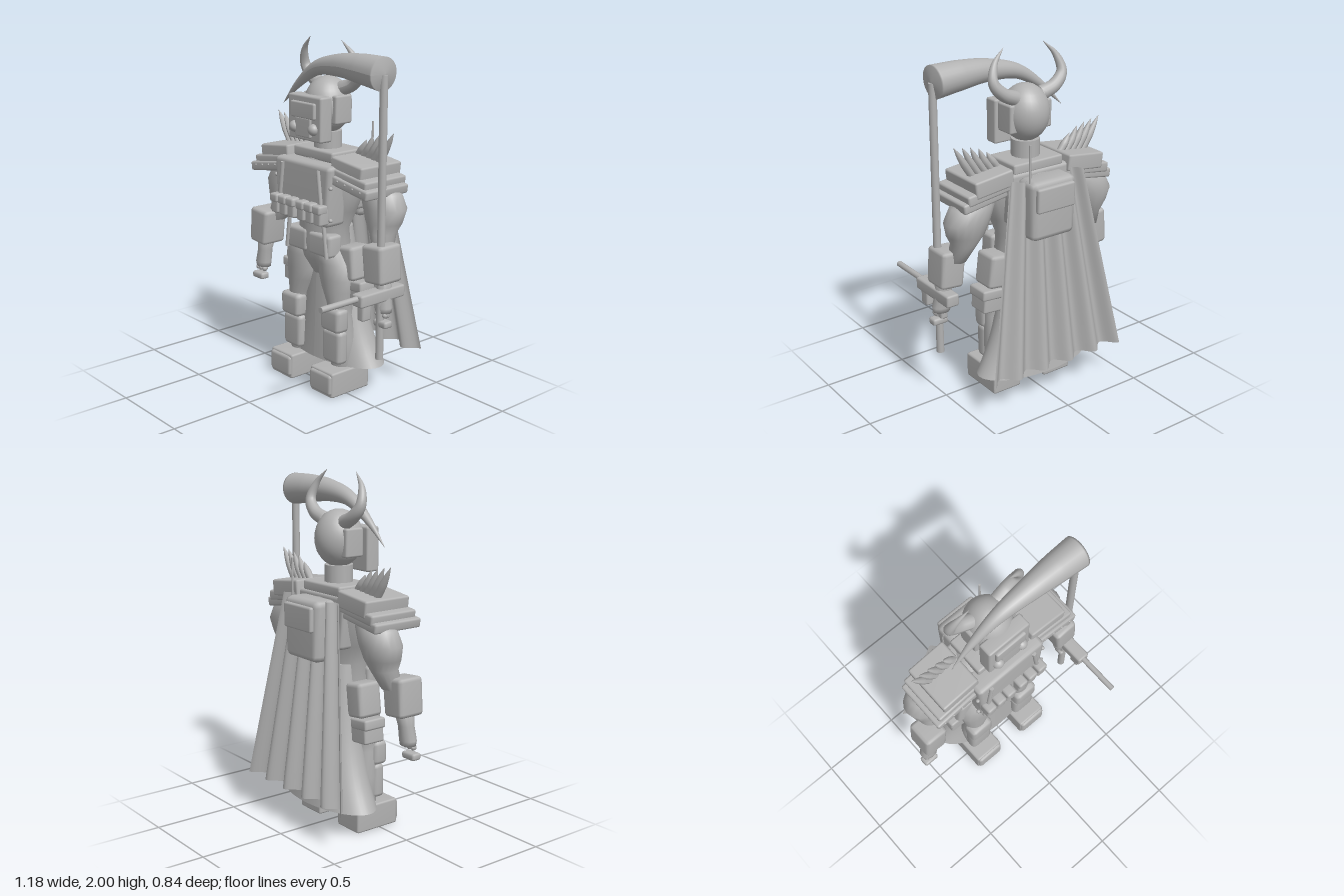
import * as THREE from 'three';
import { RoundedBoxGeometry } from 'three/addons/geometries/RoundedBoxGeometry.js';
import { mergeVertices } from 'three/addons/utils/BufferGeometryUtils.js';

export function createModel() {
  const root = new THREE.Group();
  const grey = new THREE.MeshStandardMaterial({ color: 0xb2b2b2, side: THREE.DoubleSide });
  grey.name = 'stoneGrey';

  const add = (name, geometry, x = 0, y = 0, z = 0, rx = 0, ry = 0, rz = 0) => {
    const mesh = new THREE.Mesh(geometry, grey);
    mesh.name = name;
    mesh.position.set(x, y, z);
    mesh.rotation.set(rx, ry, rz);
    root.add(mesh);
    return mesh;
  };

  // Softly shaded bevelled box given by its limits; taper scales the bottom end
  const box = (name, x0, x1, y0, y1, z0, z1, { bevel = 0.012, taper = 1, tilt = 0 } = {}) => {
    const w = Math.abs(x1 - x0), h = y1 - y0, d = z1 - z0;
    const rounded = new RoundedBoxGeometry(w, h, d, 1, Math.min(bevel, w / 3, h / 3, d / 3));
    rounded.deleteAttribute('normal');
    rounded.deleteAttribute('uv');
    const g = mergeVertices(rounded);
    const p = g.attributes.position;
    for (let i = 0; i < p.count; i++) {
      const k = THREE.MathUtils.lerp(taper, 1, p.getY(i) / h + 0.5);
      p.setX(i, p.getX(i) * k);
    }
    g.computeVertexNormals();
    return add(name, g, (x0 + x1) / 2, (y0 + y1) / 2, (z0 + z1) / 2, 0, 0, tilt);
  };

  const ball = (name, x, y, z, rx, ry = rx, rz = rx, n = 24) =>
    add(name, new THREE.SphereGeometry(1, n, n / 2), x, y, z).scale.set(rx, ry, rz);

  // Closed body through horizontal ellipses [x, y, z, radiusX, radiusZ], listed upwards
  const loft = (name, rings, n = 18) => {
    const first = rings[0], last = rings[rings.length - 1];
    const all = [[...first.slice(0, 3), 0, 0], ...rings, [...last.slice(0, 3), 0, 0]];
    const pos = [], idx = [];
    all.forEach(([x, y, z, a, b], r) => {
      for (let j = 0; j < n; j++) {
        const t = (j / n) * Math.PI * 2;
        pos.push(x + a * Math.cos(t), y, z + b * Math.sin(t));
        if (r === all.length - 1) continue;
        const i = r * n + j, k = r * n + (j + 1) % n;
        idx.push(i, i + n, k, k, i + n, k + n);
      }
    });
    const g = new THREE.BufferGeometry();
    g.setAttribute('position', new THREE.Float32BufferAttribute(pos, 3));
    g.setIndex(idx);
    g.computeVertexNormals();
    return add(name, g);
  };

  // Tube along points whose radius follows [u, radius] pairs
  const horn = (name, points, radii, segments = 28, sides = 14) => {
    const curve = new THREE.CatmullRomCurve3(points.map(p => new THREE.Vector3(...p)));
    const g = new THREE.TubeGeometry(curve, segments, 1, sides);
    const p = g.attributes.position, v = new THREE.Vector3();
    for (let i = 0; i < p.count; i++) {
      const u = Math.floor(i / (sides + 1)) / segments, c = curve.getPointAt(u);
      let k = 0;
      while (k < radii.length - 2 && u > radii[k + 1][0]) k++;
      const [u0, r0] = radii[k], [u1, r1] = radii[k + 1];
      const r = THREE.MathUtils.lerp(r0, r1, (u - u0) / (u1 - u0));
      v.fromBufferAttribute(p, i).sub(c).multiplyScalar(r).add(c);
      p.setXYZ(i, v.x, v.y, v.z);
    }
    g.computeVertexNormals();
    return add(name, g);
  };

  const rod = (name, r, len, x, y, z, rx = 0, rz = 0) =>
    add(name, new THREE.CylinderGeometry(r, r, len, 14), x, y, z, rx, 0, rz);

  // Head, mask and neck
  ball('helmet', 0, 1.635, -0.083, 0.132, 0.16, 0.138, 32);
  box('mask', -0.138, 0.138, 1.45, 1.7, 0.005, 0.09);
  box('browPlate', -0.1, 0.1, 1.575, 1.665, 0.08, 0.108);
  box('mouthPlate', -0.065, 0.065, 1.47, 1.58, 0.08, 0.105);
  rod('neck', 0.08, 0.14, 0, 1.42, -0.085);
  box('collar', -0.165, 0.165, 1.335, 1.395, -0.21, 0.03);

  // Torso, chest plate and abdomen
  loft('torso', [
    [0, 0.66, -0.06, 0.06, 0.06], [0, 0.76, -0.06, 0.15, 0.11], [0, 0.86, -0.06, 0.18, 0.13],
    [0, 0.95, -0.06, 0.17, 0.12], [0, 1.06, -0.07, 0.22, 0.14], [0, 1.22, -0.08, 0.29, 0.15],
    [0, 1.31, -0.09, 0.26, 0.14], [0, 1.37, -0.09, 0.15, 0.1],
  ], 24);
  box('chestPlate', -0.235, 0.235, 0.99, 1.335, -0.03, 0.115, { taper: 0.9, bevel: 0.025 });
  box('backPlate', -0.22, 0.22, 1.05, 1.345, -0.22, -0.1, { taper: 0.85, bevel: 0.02 });

  for (const s of [-1, 1]) {
    // Mask filters, ear boxes and curved horns
    ball('maskFilter', s * 0.08, 1.52, 0.09, 0.033);
    box('earBox', s * 0.08, s * 0.14, 1.54, 1.7, -0.14, -0.02);
    horn('helmetHorn', [[s * 0.09, 1.73, -0.11], [s * 0.17, 1.765, -0.12], [s * 0.225, 1.83, -0.11],
      [s * 0.203, 1.92, -0.085], [s * 0.13, 2.0, -0.065]],
    [[0, 0.042], [0.35, 0.034], [0.65, 0.022], [1, 0.001]]);

    // Straps, belt pouches and rivets
    rod('chestStrap', 0.012, 0.2, s * 0.165, 1.21, 0.12, 0, s * 0.13);
    rod('bellyStrap', 0.012, 0.2, s * 0.16, 0.9, 0.075, 0, s * 0.13);
    for (const x of [0.043, 0.114, 0.185]) {
      box('beltPouch', s * (x - 0.03), s * (x + 0.03), 1.01, 1.115, 0.09, 0.16);
      box('pouchFlap', s * (x - 0.032), s * (x + 0.032), 1.075, 1.125, 0.1, 0.17);
    }
    for (const y of [1.04, 1.22]) ball('rivet', s * 0.235, y, 0.1, 0.012, 0.012, 0.012, 10);
    box('abdomenPlate', s * 0.008, s * 0.19, 0.8, 0.93, -0.03, 0.075, { bevel: 0.02 });

    // Layered shoulder armour with spikes
    box('shoulderPlate', s * 0.185, s * 0.43, 1.28, 1.375, -0.24, 0.06, { tilt: -s * 0.12 });
    box('shoulderPlateMiddle', s * 0.2, s * 0.475, 1.25, 1.31, -0.235, 0.07, { tilt: -s * 0.14 });
    box('shoulderPlateLower', s * 0.22, s * 0.5, 1.215, 1.27, -0.23, 0.085, { tilt: -s * 0.16 });
    for (let i = 0; i < 4; i++) {
      ball('shoulderRivet', s * (0.27 + i * 0.06), 1.265 - i * 0.01, 0.084, 0.007, 0.007, 0.007, 10);
    }
    for (let i = 0; i < 5; i++) {
      const x = 0.215 + i * 0.04, y = 1.375 - i * 0.005, t = i / 4;
      horn('shoulderSpike', [[s * x, y, -0.12], [s * (x + 0.045), y + 0.06 + 0.01 * t, -0.12],
        [s * (0.28 + i * 0.052), 1.47 + 0.065 * Math.sqrt(t), -0.12]],
      [[0, 0.021], [0.45, 0.022], [0.75, 0.014], [1, 0.001]], 10, 8);
    }

    // Arm, armoured forearm and hand
    loft('upperArm', [[s * 0.46, 0.88, -0.08, 0.055, 0.06], [s * 0.43, 0.98, -0.11, 0.07, 0.08],
      [s * 0.425, 1.04, -0.12, 0.11, 0.095], [s * 0.42, 1.12, -0.13, 0.135, 0.108],
      [s * 0.385, 1.2, -0.13, 0.13, 0.1], [s * 0.33, 1.28, -0.12, 0.08, 0.07]]);
    box('forearmGuard', s * 0.425, s * 0.577, 0.73, 0.945, -0.12, 0.045,
      { bevel: 0.022, taper: 0.93, tilt: s * 0.09 });
    loft('forearm', [[s * 0.53, 0.57, -0.025, 0.05, 0.04], [s * 0.53, 0.6, -0.025, 0.055, 0.045],
      [s * 0.52, 0.68, -0.03, 0.045, 0.045], [s * 0.51, 0.78, -0.04, 0.055, 0.06]], 12);
    for (let i = 0; i < 3; i++) ball('knuckle', s * (0.5 + i * 0.03), 0.56, -0.01, 0.016, 0.018, 0.02, 10);
    box('fingers', s * 0.495, s * 0.59, 0.49, 0.53, -0.04, 0.02);

    // Leg, knee and shin guards, boot
    loft('leg', [[s * 0.18, 0.12, -0.04, 0.065, 0.065], [s * 0.18, 0.3, -0.05, 0.07, 0.08],
      [s * 0.175, 0.45, -0.03, 0.065, 0.065], [s * 0.17, 0.52, -0.03, 0.075, 0.075],
      [s * 0.152, 0.6, -0.035, 0.107, 0.085], [s * 0.143, 0.67, -0.04, 0.125, 0.095],
      [s * 0.135, 0.76, -0.05, 0.12, 0.11], [s * 0.1, 0.85, -0.05, 0.09, 0.1]]);
    box('kneeGuard', s * 0.1, s * 0.255, 0.365, 0.505, -0.03, 0.065, { bevel: 0.025 });
    box('shinGuard', s * 0.1, s * 0.25, 0.17, 0.37, -0.03, 0.05, { bevel: 0.025 });
    box('boot', s * 0.085, s * 0.275, 0.0, 0.15, -0.165, 0.12);
    box('toeCap', s * 0.09, s * 0.27, 0.015, 0.14, 0.08, 0.135, { bevel: 0.025 });
    box('thighGuard', s * 0.165, s * 0.29, 0.67, 0.865, -0.165, -0.01, { bevel: 0.022, tilt: s * 0.12 });
    box('hipPouch', s * 0.21, s * 0.335, 0.535, 0.665, -0.165, -0.03, { tilt: s * 0.08 });
    box('hipPouchFlap', s * 0.21, s * 0.345, 0.615, 0.675, -0.17, -0.025, { tilt: s * 0.08 });
  }

  // Flared, closed skirt around the backs of the legs
  const skirt = new THREE.CylinderGeometry(1, 1, 1, 48, 12);
  const sp = skirt.attributes.position;
  for (let i = 0; i < sp.count; i++) {
    const t = 0.5 - sp.getY(i);
    sp.setXYZ(i, sp.getX(i) * (0.15 + 0.1 * t + 0.12 * t ** 3.5), 0.95 - 0.8 * t,
      -0.11 - 0.045 * t + sp.getZ(i) * (0.1 + 0.076 * t));
  }
  skirt.computeVertexNormals();
  add('skirt', skirt);

  // Pleated cape, widening and leaning back towards the hem
  const cape = new THREE.PlaneGeometry(2, 1, 70, 14);
  const cp = cape.attributes.position;
  for (let i = 0; i < cp.count; i++) {
    const u = cp.getX(i), t = 0.5 - cp.getY(i);
    const fold = Math.cos(u * Math.PI * 5);
    cp.setXYZ(i, u * (0.25 + 0.2 * t), 1.32 - 1.1 * t, -0.262 - 0.117 * t + fold * (0.022 + 0.014 * t));
  }
  cape.computeVertexNormals();
  add('cape', cape);

  // Backpack with flap and aerial
  box('backpack', -0.15, 0.15, 0.985, 1.325, -0.355, -0.2, { taper: 0.95, bevel: 0.035 });
  box('backpackFlap', -0.125, 0.125, 1.155, 1.295, -0.374, -0.33);
  rod('aerial', 0.006, 0.26, 0.132, 1.4, -0.305);

  // Long-handled scythe
  rod('scytheHandle', 0.022, 1.56, 0.53, 1.08, 0);
  horn('scytheBlade', [[0.54, 1.862, 0], [0.37, 1.874, 0], [0.2, 1.876, 0], [0, 1.842, -0.005],
    [-0.17, 1.735, -0.01], [-0.305, 1.61, -0.01]],
  [[0, 0], [0.012, 0.091], [0.18, 0.081], [0.36, 0.064], [0.6, 0.04], [0.8, 0.022], [1, 0.001]], 84, 24);

  // Hand gun carried beside the handle
  box('gunBody', 0.49, 0.57, 0.64, 0.71, -0.15, 0.175);
  rod('gunBarrel', 0.017, 0.26, 0.53, 0.686, 0.295, Math.PI / 2);
  box('gunMagazine', 0.505, 0.555, 0.555, 0.65, 0.085, 0.15);
  box('gunGrip', 0.508, 0.552, 0.53, 0.65, -0.06, -0.015);

  return root;
}
